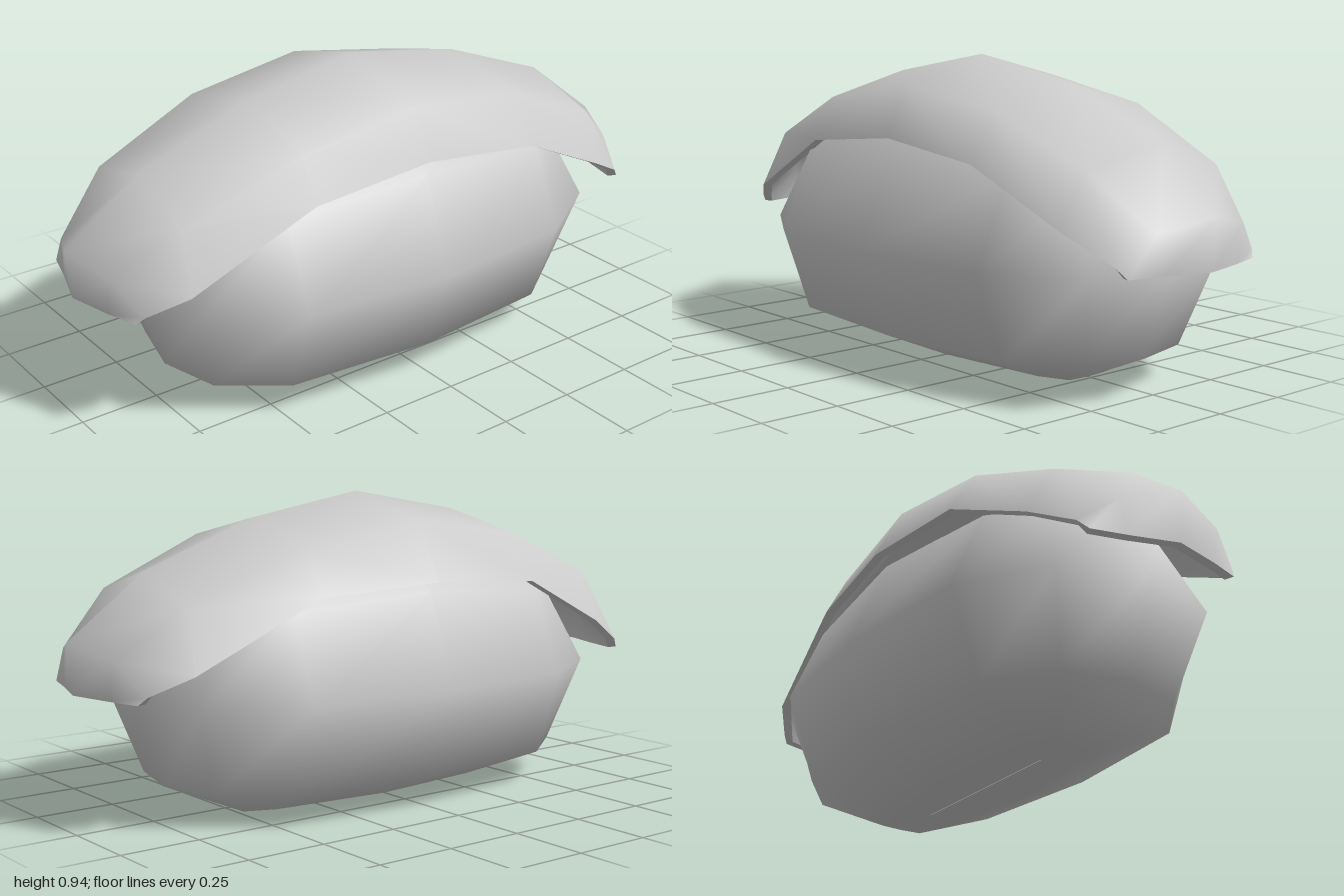
import * as THREE from 'three';

const V = (x, y, z) => new THREE.Vector3(x, y, z);

// Smooth surface through rows of points; closed rows wrap around
function skin(rows, closed = false, flip = false) {
  const n = rows[0].length, index = [];
  for (let r = 0; r < rows.length - 1; r++) {
    for (let c = 0; c < (closed ? n : n - 1); c++) {
      const d = (c + 1) % n;
      const a = r * n + c, b = r * n + d, e = a + n, f = b + n;
      index.push(...(flip ? [a, e, b, b, e, f] : [a, b, e, b, f, e]));
    }
  }
  const g = new THREE.BufferGeometry().setFromPoints(rows.flat());
  g.setIndex(index);
  g.computeVertexNormals();
  return g;
}

// Rounded loaf stacked from plan outlines: height, end drop, then
// widths at the middle, at the quarter, at the corner, corner z and end z
function riceGeometry() {
  const levels = [
    [0, 0, 0.001, 0.001, 0.001, 0.3, 0.3],
    [0, 0, 0.15, 0.11, 0.07, 0.48, 0.485],
    [0.1, 0, 0.385, 0.34, 0.2, 0.665, 0.715],
    [0.37, 0, 0.482, 0.435, 0.27, 0.75, 0.81],
    [0.66, 0.05, 0.365, 0.325, 0.2, 0.64, 0.715],
    [0.83, 0.1, 0.16, 0.12, 0.07, 0.46, 0.48],
    [0.855, 0.1, 0.001, 0.001, 0.001, 0.28, 0.3],
  ];
  const rows = levels.map(([y, drop, mid, quarter, corner, zc, ze]) => {
    const zq = Math.min(0.48, zc * 0.8);
    const q = [[mid, 0], [quarter, zq], [corner, zc], [0, ze]];
    const plan = [
      ...q,
      ...q.slice(1, 3).reverse().map(([x, z]) => [-x, z]),
      ...q.slice(0, 3).map(([x, z]) => [-x, -z]),
      [0, -ze],
      ...q.slice(1, 3).reverse().map(([x, z]) => [x, -z]),
    ];
    return plan.map(([x, z]) => V(x, y - drop * Math.abs(z) / ze, z));
  });
  return skin(rows, true, true);
}

// Draped slice: cross-sections from the crown down to one end
function toppingRows() {
  const crown = [V(-0.405, 0.69, 0), V(-0.315, 0.865, 0), V(0, 0.945, 0), V(0.31, 0.865, 0), V(0.375, 0.705, 0)];
  const half = [
    [V(-0.39, 0.665, 0.4), V(-0.3, 0.81, 0.4), V(0, 0.875, 0.4), V(0.29, 0.8, 0.4), V(0.36, 0.665, 0.4)],
    [V(-0.355, 0.51, 0.73), V(-0.27, 0.665, 0.75), V(0, 0.735, 0.77), V(0.23, 0.65, 0.77), V(0.31, 0.475, 0.79)],
    [V(-0.3, 0.43, 0.88), V(-0.19, 0.51, 0.93), V(-0.03, 0.55, 1), V(0.14, 0.51, 0.95), V(0.24, 0.42, 0.9)],
    [V(-0.28, 0.397, 0.91), V(-0.17, 0.397, 0.94), V(-0.03, 0.397, 0.985), V(0.12, 0.397, 0.95), V(0.22, 0.397, 0.92)],
  ];
  // The far end is the near end turned half way round
  const back = half.map((row) => row.map((p) => V(-p.x, p.y, -p.z)).reverse()).reverse();
  return [...back, crown, ...half];
}

export function createModel() {
  const group = new THREE.Group();
  const material = new THREE.MeshStandardMaterial({ color: 0xcccccc });
  const thinMaterial = new THREE.MeshStandardMaterial({ color: 0xcccccc, side: THREE.DoubleSide });
  const add = (name, geometry, mat, parent) => {
    const mesh = new THREE.Mesh(geometry, mat);
    mesh.name = name;
    parent.add(mesh);
  };

  add('riceBlock', riceGeometry(), material, group);

  const topping = new THREE.Group();
  topping.name = 'topping';
  group.add(topping);
  const outer = toppingRows();
  const top = skin(outer, false, true);
  add('toppingSurface', top, material, topping);

  // Underside lies inside the surface, thinner towards the edges
  const normal = top.attributes.normal, last = outer.length - 1;
  const inner = outer.map((row, r) => row.map((p, c) => {
    const edge = r === 0 || r === last || c === 0 || c === 4;
    const n = V().fromBufferAttribute(normal, r * 5 + c);
    if (edge) n.setY(0).normalize();
    return p.clone().addScaledVector(n, edge ? -0.03 : -0.065);
  }));
  add('toppingUnderside', skin(inner), material, topping);

  // Rim joins the two skins around the border
  const border = (rows) => [
    ...rows[0],
    ...rows.slice(1, last).map((row) => row[4]),
    ...[...rows[last]].reverse(),
    ...rows.slice(1, last).reverse().map((row) => row[0]),
  ];
  add('toppingRim', skin([border(outer), border(inner)], true), thinMaterial, topping);

  return group;
}
